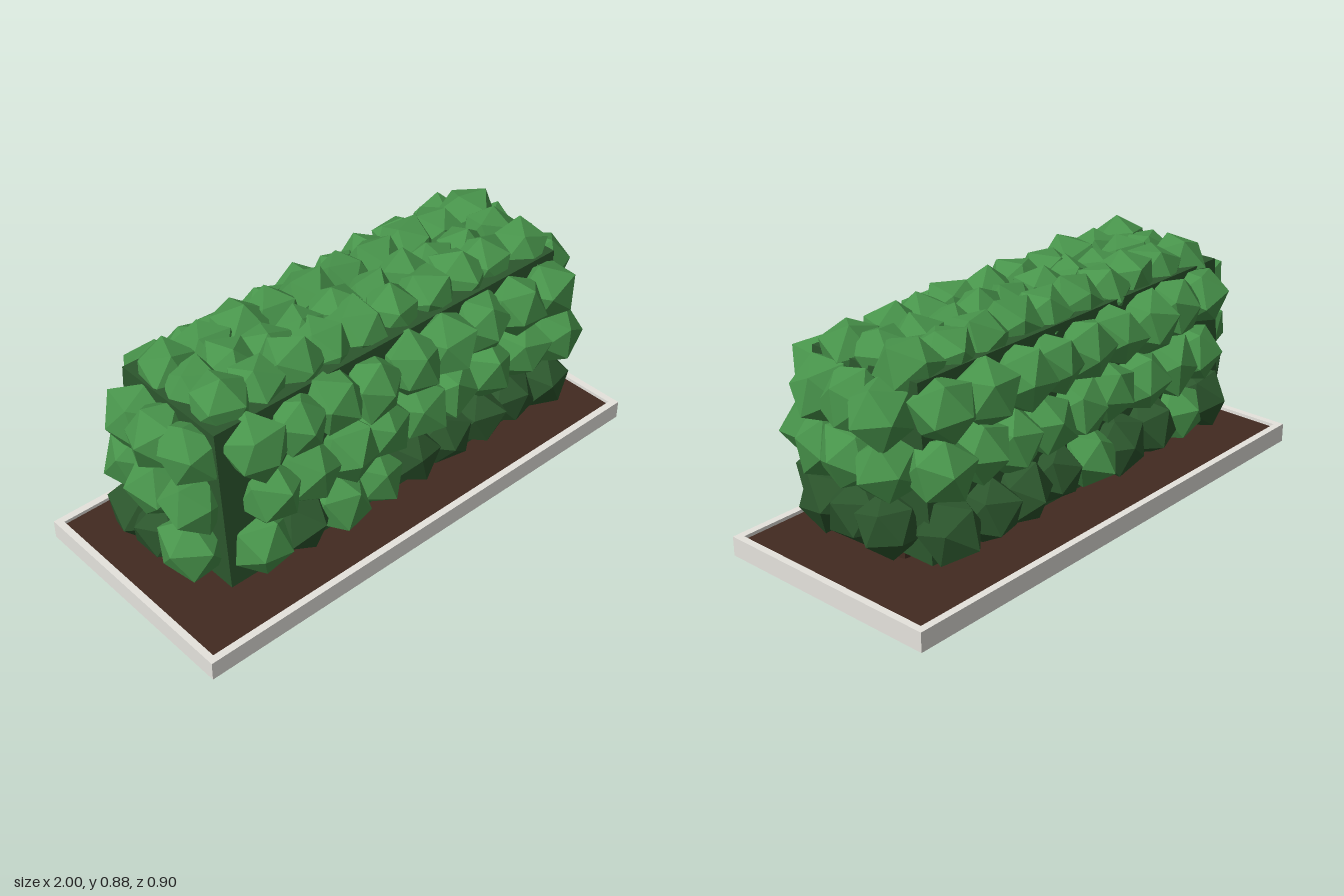
import * as THREE from 'three';
import { mergeVertices } from 'three/addons/utils/BufferGeometryUtils.js';

const mat = (name, color) => new THREE.MeshStandardMaterial({ name, color, flatShading: true });

export function createModel() {
  const leaf = mat('leafGreen', 0x48944b);
  const shade = mat('deepGreen', 0x2c562d);
  const bark = mat('barkBrown', 0x402a20);
  const earth = mat('soilBrown', 0x422a20);
  const stone = mat('stoneGrey', 0xe5e3dd);

  const model = new THREE.Group();
  model.name = 'planterHedge';

  // Seeded random in the range -1..1
  let seed = 41;
  const rnd = () => {
    seed = (seed * 1664525 + 1013904223) % 4294967296;
    return (seed / 4294967296) * 2 - 1;
  };
  const add = (name, geometry, material, x, y, z, parent = model) => {
    const mesh = new THREE.Mesh(geometry, material);
    mesh.name = name;
    mesh.position.set(x, y, z);
    parent.add(mesh);
    return mesh;
  };

  // Planter frame with a rectangular opening, and the soil inside it
  const rect = (path, w, d) => path.moveTo(-w, -d).lineTo(w, -d).lineTo(w, d).lineTo(-w, d).closePath();
  const outline = rect(new THREE.Shape(), 1, 0.45);
  outline.holes.push(rect(new THREE.Path(), 0.973, 0.423));
  const frame = new THREE.ExtrudeGeometry(outline, { depth: 0.073, bevelEnabled: false });
  frame.rotateX(-Math.PI / 2);
  add('planterFrame', frame, stone, 0, 0, 0);
  add('soil', new THREE.BoxGeometry(1.946, 0.05, 0.846), earth, 0, 0.035, 0);

  // Slightly leaning trunks in two staggered rows
  const trunks = new THREE.Group();
  trunks.name = 'trunks';
  model.add(trunks);
  [-0.6, -0.46, -0.36, -0.23, -0.12, 0, 0.12, 0.23, 0.36, 0.45, 0.59, 0.685].forEach((x, i) => {
    const trunk = add('trunk', new THREE.CylinderGeometry(0.017, 0.022, 0.16, 6), bark,
      x, 0.125, i % 2 ? -0.083 + rnd() * 0.022 : 0.083 + rnd() * 0.008, trunks);
    trunk.rotation.set(rnd() * 0.06, rnd() * 3, rnd() * 0.12);
  });

  // Dark inner block, narrowing towards the top
  const core = new THREE.BoxGeometry(1.56, 0.62, 0.57);
  const cp = core.attributes.position;
  for (let i = 0; i < cp.count; i++) if (cp.getY(i) > 0) cp.setZ(i, cp.getZ(i) * 0.84);
  add('hedgeCore', core, shade, 0, 0.455, 0);

  // One irregular leaf clump
  const foliage = new THREE.Group();
  foliage.name = 'foliage';
  model.add(foliage);
  const clump = (name, material, x, y, z, r) => {
    let g = new THREE.IcosahedronGeometry(r, 0);
    g.deleteAttribute('normal');
    g.deleteAttribute('uv');
    g = mergeVertices(g);
    const p = g.attributes.position;
    for (let i = 0; i < p.count; i++) {
      const k = 1 + rnd() * 0.11;
      p.setXYZ(i, p.getX(i) * k, p.getY(i) * k, p.getZ(i) * k);
    }
    g.rotateX(rnd() * 3).rotateY(rnd() * 3).rotateZ(rnd() * 3);
    g.computeVertexNormals();
    add(name, g, material, x + rnd() * 0.012, y + rnd() * 0.01, z + rnd() * 0.008, foliage);
  };

  // Three rows on each long side and each end; most of the lowest row is dark
  const lightFront = [0, 2, 3], lightBack = [1, 4];
  const rows = [
    { y: 0.257, z: 0.282, start: -0.66, step: 0.17, endStep: 0.133 },
    { y: 0.457, z: 0.28, start: -0.6, step: 0.166, endStep: 0.145 },
    { y: 0.655, z: 0.268, start: -0.65, step: 0.168, endStep: 0.137 },
  ];
  rows.forEach(({ y, z, start, step, endStep }, row) => {
    for (const side of [1, -1]) {
      const light = side > 0 ? lightFront : lightBack;
      for (let i = 0; i < 9; i++) {
        const m = row > 0 || light.includes(i) ? leaf : shade;
        clump('sideClump', m, start + i * step, y, z * side, 0.121);
      }
      for (let j = -1; j <= 1; j++) {
        const m = row > 0 || (side < 0 && j > 0) ? leaf : shade;
        clump('endClump', m, side * 0.82, y, 0.005 + j * endStep, 0.123);
      }
    }
  });

  // Three rows across the top
  for (const z of [-0.135, 0, 0.12]) {
    for (let i = 0; i < 10; i++) clump('topClump', leaf, 0.01 + (i - 4.5) * 0.153, 0.76, z, z ? 0.117 : 0.107);
  }

  return model;
}
